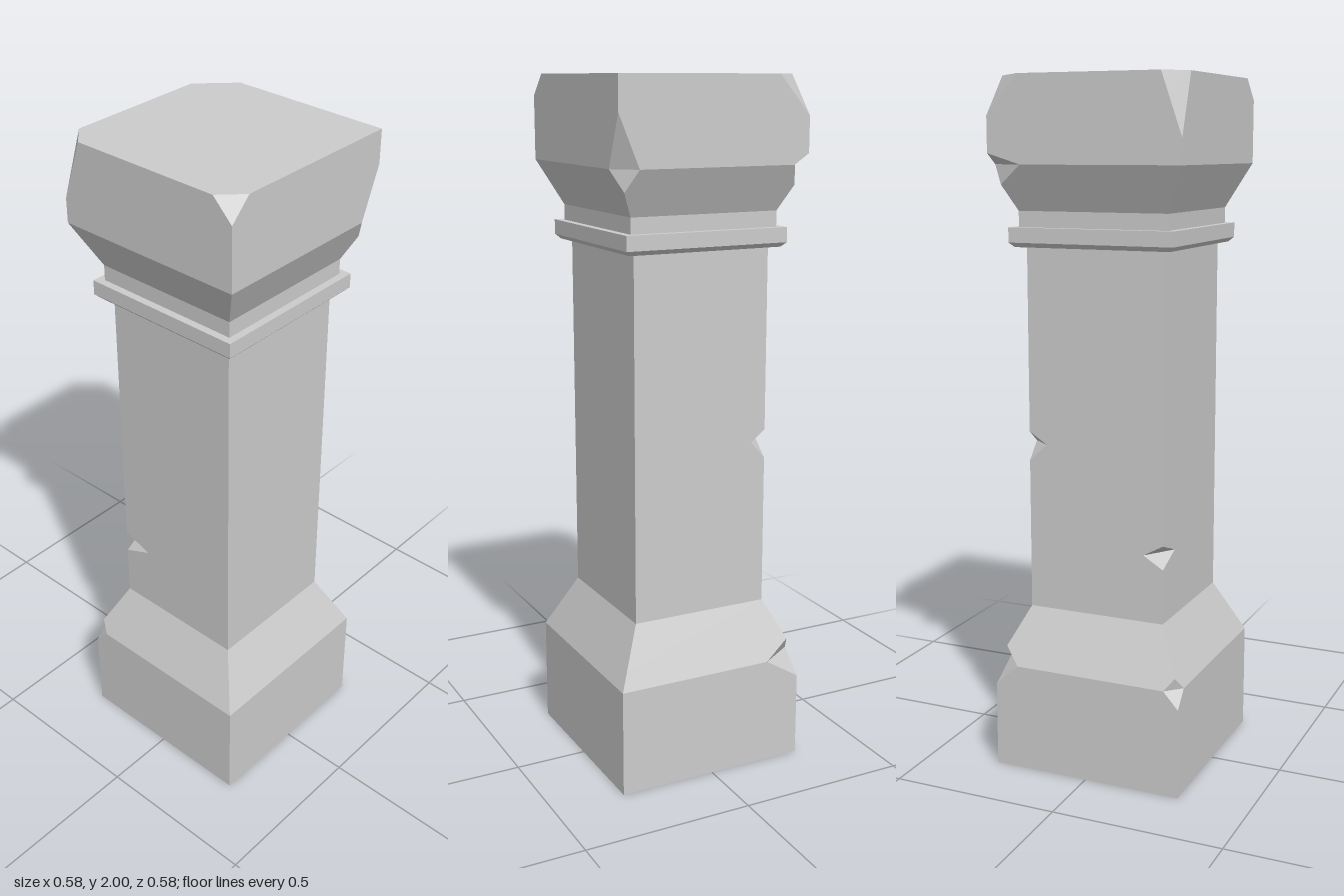
import * as THREE from 'three';

const material = new THREE.MeshStandardMaterial({ color: 0xcccccc, flatShading: true });

// Corners in order around the square, seen from above: [sign x, sign z]
const CORNERS = { frontLeft: [1, 1], backLeft: [1, -1], backRight: [-1, -1], frontRight: [-1, 1] };

// Piecewise linear lookup in rows of [y, value, value...]
function sample(rows, y, column) {
  for (let i = 0; i < rows.length - 1; i++) {
    const a = rows[i], b = rows[i + 1];
    if (y >= a[0] && y <= b[0]) {
      return a[column] + (b[column] - a[column]) * (y - a[0]) / (b[0] - a[0]);
    }
  }
  return 0;
}

// Square stone lofted through profile rows [y, halfWidth].
// Each chip cuts one corner: rows of [y, cutX, cutZ].
function stone(name, profile, chips = []) {
  const levels = [...new Set([...profile, ...chips.flatMap(c => c.rows)].map(r => r[0]))]
    .sort((a, b) => a - b);

  const rings = levels.map(y => {
    const h = sample(profile, y, 1);
    return Object.entries(CORNERS).flatMap(([corner, [sx, sz]]) => {
      let cx = 0, cz = 0;
      for (const chip of chips) {
        if (chip.corner !== corner) continue;
        cx += sample(chip.rows, y, 1);
        cz += sample(chip.rows, y, 2);
      }
      const onZ = new THREE.Vector3(sx * (h - cx), y, sz * h);
      const onX = new THREE.Vector3(sx * h, y, sz * (h - cz));
      return sx === sz ? [onZ, onX] : [onX, onZ];
    });
  });

  const positions = [];
  const triangle = (a, b, c) => {
    const area = b.clone().sub(a).cross(c.clone().sub(a)).length();
    if (area > 1e-8) for (const p of [a, b, c]) positions.push(p.x, p.y, p.z);
  };
  for (let k = 0; k < rings.length - 1; k++) {
    const low = rings[k], high = rings[k + 1];
    for (let i = 0; i < 8; i++) {
      const j = (i + 1) % 8;
      triangle(low[i], low[j], high[j]);
      triangle(low[i], high[j], high[i]);
    }
  }
  // End caps
  const bottom = rings[0], top = rings[rings.length - 1];
  for (let i = 1; i < 7; i++) {
    triangle(bottom[0], bottom[i + 1], bottom[i]);
    triangle(top[0], top[i], top[i + 1]);
  }

  const geometry = new THREE.BufferGeometry();
  geometry.setAttribute('position', new THREE.Float32BufferAttribute(positions, 3));
  geometry.computeVertexNormals();
  const mesh = new THREE.Mesh(geometry, material);
  mesh.name = name;
  return mesh;
}

export function createModel() {
  const pillar = new THREE.Group();
  pillar.name = 'stonePillar';

  // Plinth with sloped shoulders
  pillar.add(stone('base', [[0, 0.288], [0.315, 0.288], [0.48, 0.208]], [
    { corner: 'frontRight', rows: [[0.265, 0, 0], [0.315, 0.045, 0.045], [0.35, 0, 0]] },
    { corner: 'backRight', rows: [[0.25, 0, 0], [0.315, 0.105, 0.07], [0.365, 0, 0]] },
  ]));

  // Shaft with two edge notches
  pillar.add(stone('shaft', [[0.48, 0.208], [1.54, 0.208]], [
    { corner: 'frontRight', rows: [[0.64, 0, 0], [0.677, 0.09, 0.06], [0.71, 0, 0]] },
    { corner: 'backRight', rows: [[0.92, 0, 0], [0.97, 0.045, 0.055], [1.005, 0, 0]] },
  ]));

  // Thin collar with a bevelled underside
  pillar.add(stone('collar', [[1.533, 0.233], [1.546, 0.246], [1.588, 0.246]]));

  // Flared capital with broken corners
  pillar.add(stone('capital', [[1.58, 0.224], [1.633, 0.224], [1.76, 0.286], [2, 0.286]], [
    { corner: 'frontLeft', rows: [[1.94, 0, 0], [2, 0.06, 0.06]] },
    { corner: 'frontRight', rows: [[1.83, 0, 0], [2, 0.06, 0.06]] },
    { corner: 'backRight', rows: [[1.89, 0, 0], [2, 0.095, 0.095]] },
    { corner: 'backRight', rows: [[1.705, 0, 0], [1.76, 0.045, 0.1], [1.79, 0, 0]] },
    { corner: 'backLeft', rows: [[1.7, 0, 0], [1.76, 0.06, 0.06], [1.905, 0, 0]] },
  ]));

  return pillar;
}
